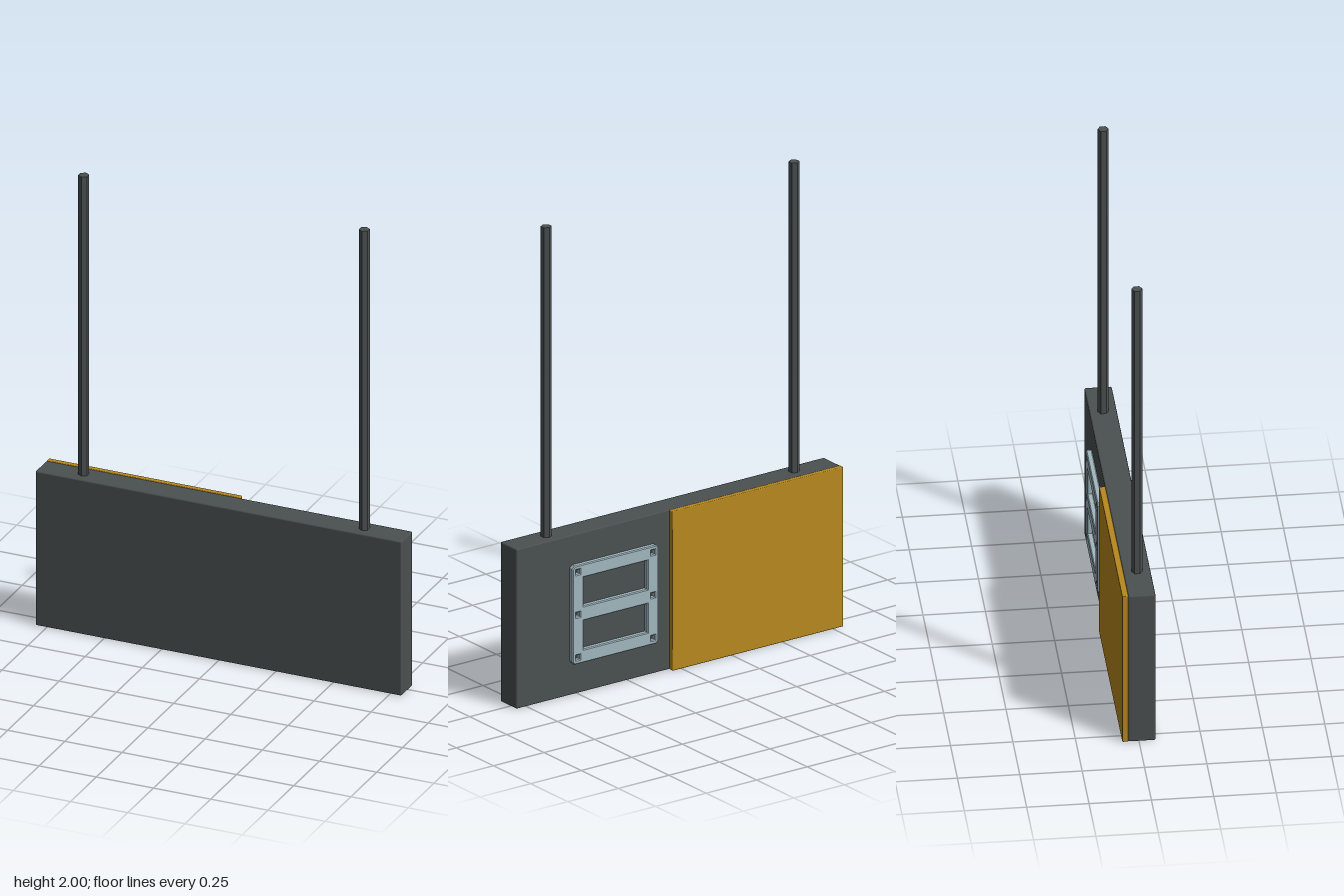
import * as THREE from 'three';
import { RoundedBoxGeometry } from 'three/addons/geometries/RoundedBoxGeometry.js';

const mat = (name, color) => {
  const m = new THREE.MeshStandardMaterial({ color });
  m.name = name;
  return m;
};

export function createModel() {
  const group = new THREE.Group();
  const charcoal = mat('charcoal', 0x4b5051);
  const amber = mat('amber', 0xb8891f);
  const paleBlue = mat('paleBlue', 0xa0b7bf);

  const add = (name, geometry, material, x, y, z) => {
    const mesh = new THREE.Mesh(geometry, material);
    mesh.name = name;
    mesh.position.set(x, y, z);
    group.add(mesh);
  };

  // Hanging sign board
  add('board', new RoundedBoxGeometry(1.6, 0.68, 0.11, 1, 0.006), charcoal, 0, 0.34, 0.012);

  // Coloured panel on the back, covering the right half
  add('backPanel', new RoundedBoxGeometry(0.845, 0.68, 0.025, 1, 0.004), amber, -0.3775, 0.34, -0.0545);

  // Hexagonal hanger rods
  for (const side of [-1, 1]) {
    const rod = new THREE.CylinderGeometry(0.022, 0.022, 1.33, 6).toNonIndexed();
    rod.computeVertexNormals();
    add(side > 0 ? 'leftRod' : 'rightRod', rod, charcoal, side * 0.613, 1.335, 0.012);
  }

  // Digit frame: two windows, with small gaps where the bars meet
  const rect = (path, cx, cy, w, h) => path
    .moveTo(cx - w / 2, cy - h / 2).lineTo(cx + w / 2, cy - h / 2)
    .lineTo(cx + w / 2, cy + h / 2).lineTo(cx - w / 2, cy + h / 2).closePath();
  const frame = new THREE.Shape();
  const W = 0.426, H = 0.42, c = 0.012;
  frame.moveTo(-W / 2 + c, -H / 2);
  for (const [x, y] of [[W / 2 - c, -H / 2], [W / 2, -H / 2 + c], [W / 2, H / 2 - c], [W / 2 - c, H / 2],
    [-W / 2 + c, H / 2], [-W / 2, H / 2 - c], [-W / 2, -H / 2 + c]]) frame.lineTo(x, y);
  frame.closePath();
  const hole = (...args) => {
    const path = new THREE.Path();
    rect(path, ...args);
    frame.holes.push(path);
  };
  for (const s of [-1, 1]) {
    hole(0, s * 0.092, 0.315, 0.122);
    for (const y of [-0.182, 0, 0.182]) hole(s * 0.185, y, 0.02, 0.02);
  }
  const bevel = 0.004;
  const frameGeometry = new THREE.ExtrudeGeometry(frame, {
    depth: 0.025 - 2 * bevel, bevelThickness: bevel, bevelSize: bevel, bevelOffset: -bevel, bevelSegments: 1,
  });
  add('digitFrame', frameGeometry, paleBlue, 0.327, 0.345, -0.067 + bevel);

  return group;
}
